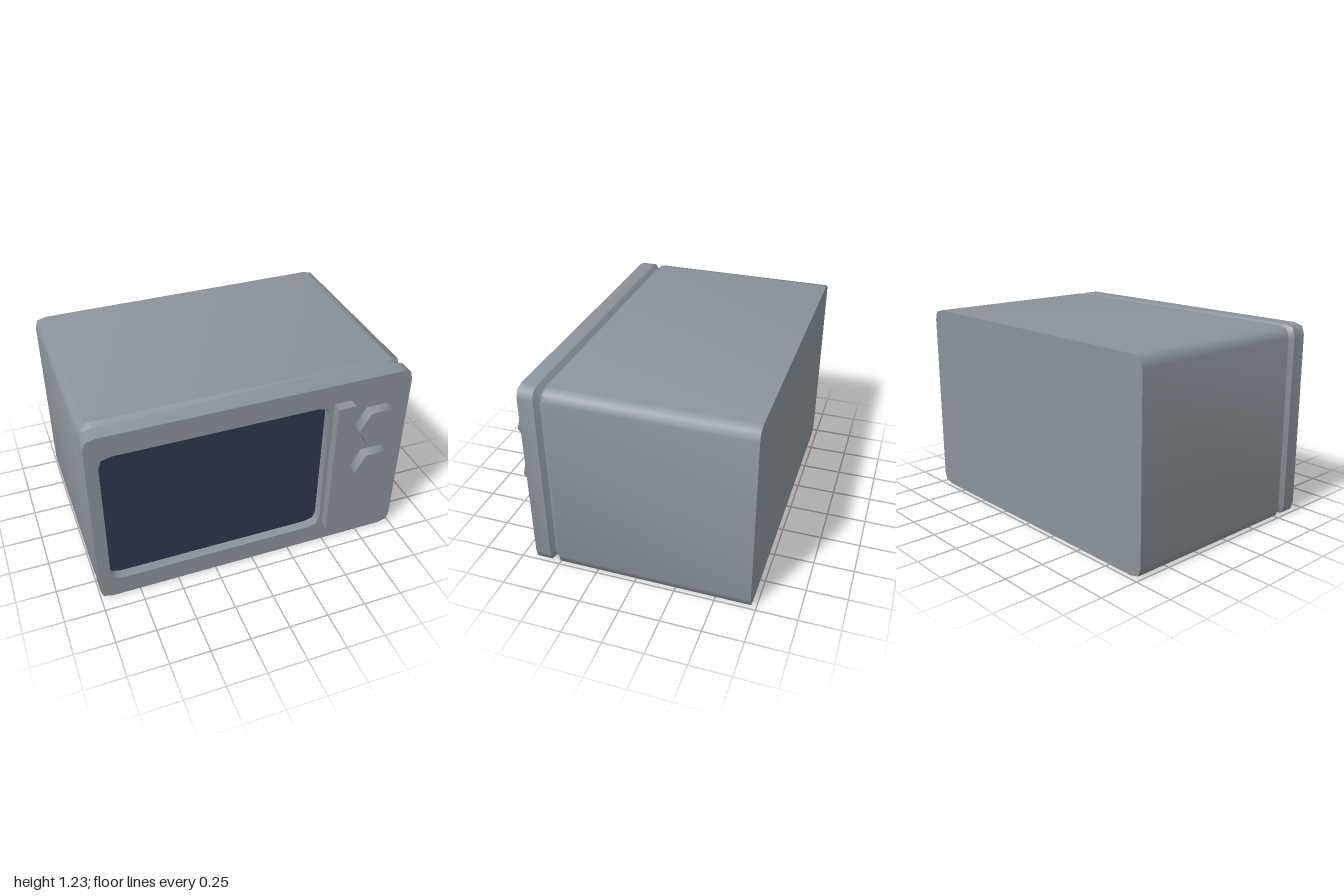
import * as THREE from 'three';
import { toCreasedNormals } from 'three/addons/utils/BufferGeometryUtils.js';

const casing = new THREE.MeshStandardMaterial({ color: 0x8a9299 });
casing.name = 'casing grey';
const glass = new THREE.MeshStandardMaterial({ color: 0x2e364c });
glass.name = 'dark glass';

// Rectangle with bevelled corners, counter-clockwise seen from +z
function outline(x0, x1, y0, y1) {
  const a = 0.075, b = 0.068, s = 0.016;
  const cx = (x0 + x1) / 2, cy = (y0 + y1) / 2, w = (x1 - x0) / 2, h = (y1 - y0) / 2;
  const corner = [[w, h - b], [w - s, h - s], [w - a, h]];
  const points = [];
  for (const [sx, sy] of [[1, 1], [-1, 1], [-1, -1], [1, -1]]) {
    const part = sx * sy > 0 ? corner : [...corner].reverse();
    for (const [x, y] of part) points.push(new THREE.Vector2(cx + sx * x, cy + sy * y));
  }
  return points;
}

// Wall joining two matching outlines, facing outward when zA < zB
function band(ringA, zA, ringB, zB) {
  const pos = [];
  ringA.forEach((p, i) => {
    const j = (i + 1) % ringA.length, q = ringA[j], r = ringB[i], t = ringB[j];
    pos.push(p.x, p.y, zA, q.x, q.y, zA, t.x, t.y, zB);
    pos.push(p.x, p.y, zA, t.x, t.y, zB, r.x, r.y, zB);
  });
  const geometry = new THREE.BufferGeometry();
  geometry.setAttribute('position', new THREE.Float32BufferAttribute(pos, 3));
  return toCreasedNormals(geometry, 1.1);
}

export function createModel() {
  const model = new THREE.Group();
  model.name = 'microwaveOven';
  const add = (parent, name, geometry, material, x = 0, y = 0, z = 0) => {
    const mesh = new THREE.Mesh(geometry, material);
    mesh.name = name;
    mesh.position.set(x, y, z);
    parent.add(mesh);
    return mesh;
  };

  const H = 1.232, BACK = -0.72, FRONT = 0.65, GLASS = 0.59, inset = 0.025;
  const outer = outline(-1, 1, 0, H);
  const groove = outline(-1 + inset, 1 - inset, inset, H - inset);
  const opening = outline(-0.925, 0.467, 0.135, 1.09);

  // Shell with a V groove between the body and the front frame
  const shell = new THREE.Group();
  shell.name = 'shell';
  model.add(shell);
  add(shell, 'bodySides', band(outer, BACK, outer, 0.495), casing);
  add(shell, 'grooveRear', band(outer, 0.495, groove, 0.525), casing);
  add(shell, 'grooveFront', band(groove, 0.525, outer, 0.553), casing);
  add(shell, 'frameSides', band(outer, 0.553, outer, FRONT), casing);
  const back = add(shell, 'backPanel', new THREE.ShapeGeometry(new THREE.Shape(outer)), casing, 0, 0, BACK);
  back.rotation.y = Math.PI;

  // Front frame with the recessed window
  const face = new THREE.Shape(outer);
  face.holes.push(new THREE.Path(opening));
  add(model, 'frontFrame', new THREE.ShapeGeometry(face), casing, 0, 0, FRONT);
  add(model, 'windowReveal', band(opening, FRONT, opening, GLASS), casing);
  add(model, 'window', new THREE.ShapeGeometry(new THREE.Shape(opening)), glass, 0, 0, GLASS);

  // Door handle
  add(model, 'handle', new THREE.BoxGeometry(0.113, 0.957, 0.06), casing, 0.548, 0.622, FRONT + 0.03);

  // Hexagonal knobs with corners pointing sideways
  const knob = new THREE.CylinderGeometry(0.136, 0.136, 0.07, 6);
  knob.rotateY(Math.PI / 2).rotateX(Math.PI / 2);
  const knobGeometry = toCreasedNormals(knob, 1.1);
  for (const [name, y] of [['upperKnob', 0.905], ['lowerKnob', 0.584]]) {
    add(model, name, knobGeometry, casing, 0.78, y, FRONT + 0.035);
  }
  return model;
}
